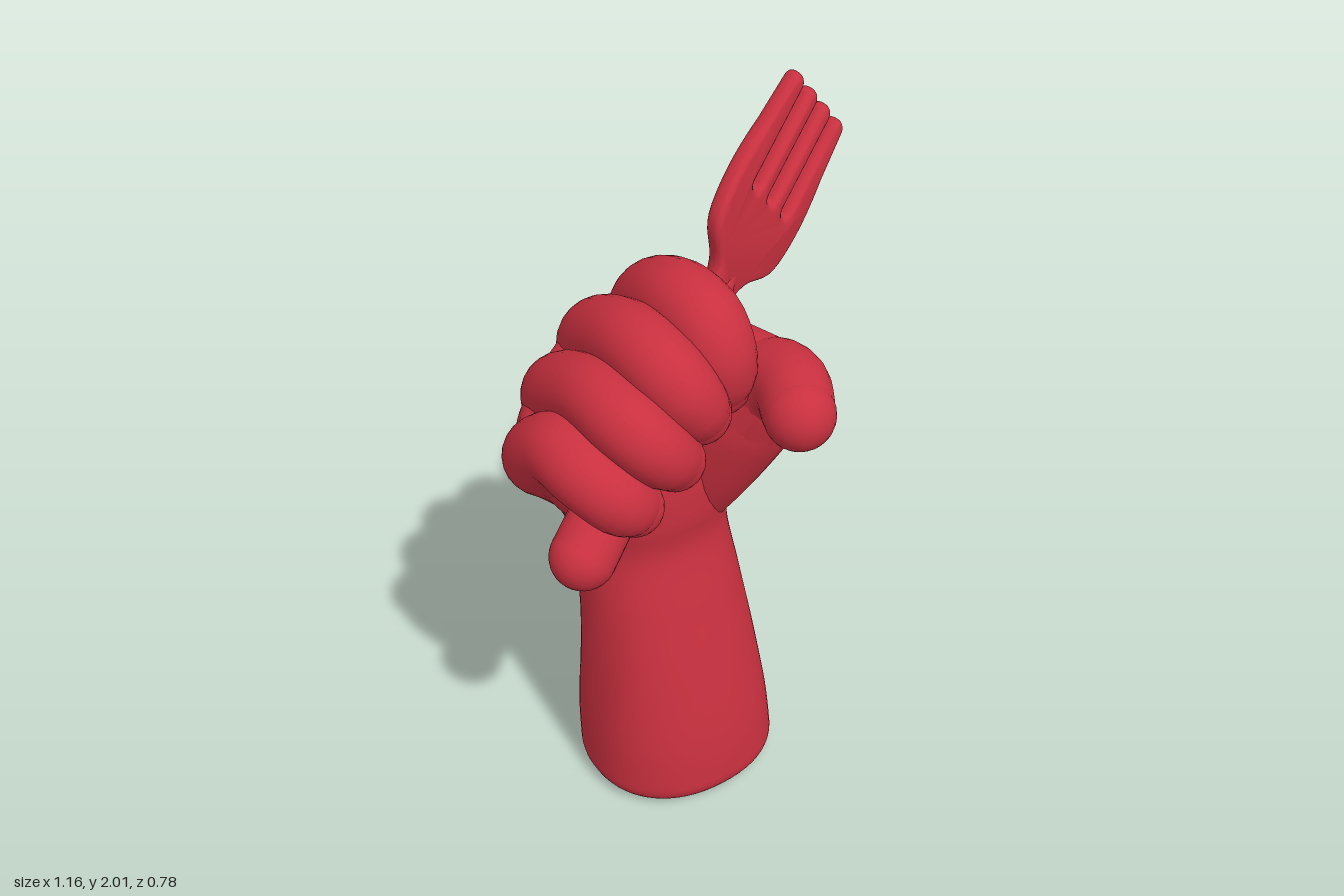
import * as THREE from 'three';
import { mergeGeometries, mergeVertices, toCreasedNormals } from 'three/addons/utils/BufferGeometryUtils.js';
import { ConvexGeometry } from 'three/addons/geometries/ConvexGeometry.js';

const red = new THREE.MeshStandardMaterial({ color: 0xc9303f });
red.name = 'red';

const V = (x, y, z) => new THREE.Vector3(x, y, z);
const smoothCurve = (pts) => new THREE.CatmullRomCurve3(pts, false, 'catmullrom', 0.5);

function part(name, geometry) {
  const mesh = new THREE.Mesh(geometry, red);
  mesh.name = name;
  return mesh;
}

// Weld seams and shade smoothly
function smooth(geometry) {
  geometry.deleteAttribute('uv');
  geometry.deleteAttribute('normal');
  const welded = mergeVertices(geometry);
  welded.computeVertexNormals();
  return welded;
}

const ball = ([x, y, z, r]) => new THREE.SphereGeometry(r, 24, 16).translate(x, y, z);

// Rounded limb through points [x, y, z, radius]
function limb(points) {
  const path = smoothCurve(points.map((p) => V(p[0], p[1], p[2])));
  const radii = smoothCurve(points.map((p) => V(p[3], 0, 0)));
  const rows = 48, sides = 24;
  const tube = new THREE.TubeGeometry(path, rows, 1, sides);
  const pos = tube.attributes.position;
  const v = V(0, 0, 0);
  for (let i = 0; i <= rows; i++) {
    const centre = path.getPointAt(i / rows);
    const r = radii.getPoint(path.getUtoTmapping(i / rows)).x;
    for (let j = 0; j <= sides; j++) {
      const k = i * (sides + 1) + j;
      v.fromBufferAttribute(pos, k).sub(centre).multiplyScalar(r).add(centre);
      pos.setXYZ(k, v.x, v.y, v.z);
    }
  }
  const ends = [points[0], points[points.length - 1]].map(ball);
  return mergeGeometries([tube, ...ends].map(smooth));
}

// Skin stretched over balls [x, y, z, radius]
function stretchedSkin(balls) {
  const points = [];
  for (const b of balls) {
    const pos = ball(b).attributes.position;
    for (let i = 0; i < pos.count; i++) points.push(V(0, 0, 0).fromBufferAttribute(pos, i));
  }
  return smooth(new ConvexGeometry(points));
}

// Forearm and palm: oval sections [y, x min, x max, z back, z front]
function armGeometry() {
  const sections = [
    [0, -0.385, 0.185, -0.345, 0.165],
    [0.2, -0.38, 0.17, -0.345, 0.15],
    [0.42, -0.365, 0.14, -0.335, 0.11],
    [0.64, -0.355, 0.11, -0.33, 0.06],
    [0.82, -0.355, 0.09, -0.335, 0.02],
    [0.94, -0.39, 0.10, -0.35, 0.03],
    [1.06, -0.46, 0.125, -0.36, 0.03],
    [1.2, -0.50, 0.15, -0.36, 0.01],
    [1.32, -0.45, 0.14, -0.34, 0],
    [1.42, -0.32, 0.10, -0.31, -0.02],
    [1.49, -0.2, 0.03, -0.26, -0.05],
    [1.52, -0.09, -0.07, -0.15, -0.13],
  ];
  const centres = smoothCurve(sections.map(([y, a, b, c, d]) => V((a + b) / 2, y, (c + d) / 2)));
  const sizes = smoothCurve(sections.map(([, a, b, c, d]) => V((b - a) / 2, 0, (d - c) / 2)));
  const rows = 90, sides = 64, verts = [], index = [];
  const power = (s) => Math.sign(s) * Math.pow(Math.abs(s), 0.9);
  for (let i = -1; i <= rows; i++) {
    const t = Math.pow(Math.max(i, 0) / rows, 1.4);
    const c = centres.getPoint(t), s = sizes.getPoint(t);
    // rounded lower rim
    const k = Math.max(0, 1 - c.y / 0.06);
    const inset = 0.055 * (1 - Math.sqrt(1 - k * k));
    for (let j = 0; j < sides; j++) {
      const a = (j / sides) * Math.PI * 2;
      // faint diagonal sinews on the back of the forearm
      const fade = Math.sin(Math.min(1, c.y / 0.9) * Math.PI);
      const ripple = 1 + 0.024 * fade * Math.sin(7 * a + c.y * 8) * (0.5 - 0.5 * Math.sin(a));
      const f = i < 0 ? 0.001 : ripple;
      verts.push(c.x + power(Math.cos(a)) * (s.x - inset) * f, c.y,
        c.z + power(Math.sin(a)) * (s.z - inset) * f);
      if (i < rows) {
        const p = (i + 1) * sides + j, q = (i + 1) * sides + ((j + 1) % sides);
        index.push(p, p + sides, q, q, p + sides, q + sides);
      }
    }
  }
  const g = new THREE.BufferGeometry();
  g.setAttribute('position', new THREE.Float32BufferAttribute(verts, 3));
  g.setIndex(index);
  g.computeVertexNormals();
  return g;
}

// Curled finger from the wrist over the knuckles to the tip
function fingerGeometry({ knuckle, bend, tip, r }) {
  const k = V(...knuckle), b = V(...bend), e = V(...tip);
  const wrist = V(-0.13 + (k.x + 0.2) * 0.45, 0.9, -0.235);
  const hand = wrist.clone().lerp(k, 0.6).add(V(0, 0, -0.025));
  const arch = k.clone().lerp(b, 0.6).add(V(-0.01, 0.045, -0.02));
  const front = b.clone().lerp(e, 0.5).add(V(-0.005, 0, 0.04));
  const row = (p, s) => [p.x, p.y, p.z, r * s];
  return limb([row(wrist, 0.8), row(hand, 1), row(k, 1.1), row(arch, 1.05),
    row(b, 1), row(front, 0.95), row(e, 0.85)]);
}

// Fork head: outline in its own plane, then turned and slanted back
function forkHeadGeometry() {
  const s = new THREE.Shape();
  const half = 0.027, gap = 0.0915, first = -1.5 * gap, tip = 0.538;
  s.moveTo(-0.03, -0.055);
  s.bezierCurveTo(0.1, -0.055, 0.06, -0.16, 0.16, -0.185);
  s.bezierCurveTo(0.24, -0.205, 0.32, -0.2, 0.41, -0.18);
  for (let i = 0; i < 4; i++) {
    const v = first + i * gap;
    s.lineTo(tip, v - half);
    s.absarc(tip, v, half, -Math.PI / 2, Math.PI / 2, false);
    if (i < 3) s.absarc(0.28, v + gap / 2, gap / 2 - half, -Math.PI / 2, Math.PI / 2, true);
  }
  s.lineTo(0.41, 0.18);
  s.bezierCurveTo(0.32, 0.2, 0.24, 0.205, 0.16, 0.185);
  s.bezierCurveTo(0.06, 0.16, 0.1, 0.055, -0.03, 0.055);
  s.closePath();
  const g = new THREE.ExtrudeGeometry(s, {
    depth: 0.012, bevelThickness: 0.025, bevelSize: 0.02, bevelOffset: -0.02,
    bevelSegments: 5, curveSegments: 10,
  });
  g.translate(0, 0, -0.006).rotateZ(0.727).translate(0.06, 1.52, 0);
  const pos = g.attributes.position;
  for (let i = 0; i < pos.count; i++) {
    pos.setZ(i, pos.getZ(i) - 0.085 - 0.33 * pos.getX(i));
  }
  return toCreasedNormals(g, 0.7);
}

export function createModel() {
  const model = new THREE.Group();
  model.name = 'fistHoldingFork';

  model.add(part('forearmAndPalm', armGeometry()));

  // Four fingers wrapped over the handle
  const fingers = {
    indexFinger: { knuckle: [-0.05, 1.43, -0.25], bend: [-0.08, 1.55, 0.04], tip: [-0.06, 1.38, 0.07], r: 0.104 },
    middleFinger: { knuckle: [-0.21, 1.38, -0.265], bend: [-0.24, 1.5, 0.085], tip: [-0.16, 1.36, 0.13], r: 0.098 },
    ringFinger: { knuckle: [-0.35, 1.29, -0.23], bend: [-0.37, 1.405, 0.12], tip: [-0.26, 1.275, 0.165], r: 0.094 },
    littleFinger: { knuckle: [-0.465, 1.19, -0.145], bend: [-0.478, 1.285, 0.1], tip: [-0.38, 1.18, 0.16], r: 0.092 },
  };
  for (const [name, spec] of Object.entries(fingers)) model.add(part(name, fingerGeometry(spec)));

  // Back of the hand, filling the grooves between the finger bones
  model.add(part('backOfHand', stretchedSkin([
    [-0.25, 0.9, -0.22, 0.085], [-0.06, 0.9, -0.235, 0.085],
    ...Object.values(fingers).map(({ knuckle, r }) => [...knuckle, r * 0.88]),
  ])));

  // Thumb with its fleshy base, pointing forward
  model.add(part('thumb', limb([
    [-0.02, 0.86, -0.12, 0.085], [0.015, 1.02, -0.065, 0.125], [0.06, 1.19, 0.003, 0.145],
    [0.09, 1.32, 0.085, 0.125], [0.08, 1.375, 0.19, 0.103], [0.03, 1.37, 0.295, 0.093],
  ])));

  // Web of flesh between thumb, wrist and index finger
  model.add(part('thumbWeb', stretchedSkin([
    [-0.01, 0.86, -0.15, 0.085], [0.06, 1.19, 0.003, 0.144],
    [0.09, 1.32, 0.08, 0.124], [0.03, 1.32, -0.215, 0.115],
  ])));

  // Fork
  const fork = new THREE.Group();
  fork.name = 'fork';
  fork.add(part('forkHandle', limb([
    [-0.49, 1.02, 0.085, 0.088], [-0.3, 1.19, 0.015, 0.084],
    [-0.1, 1.37, -0.05, 0.072], [0.02, 1.48, -0.09, 0.054], [0.095, 1.55, -0.116, 0.03],
  ])));
  fork.add(part('forkHead', forkHeadGeometry()));
  model.add(fork);

  return model;
}
